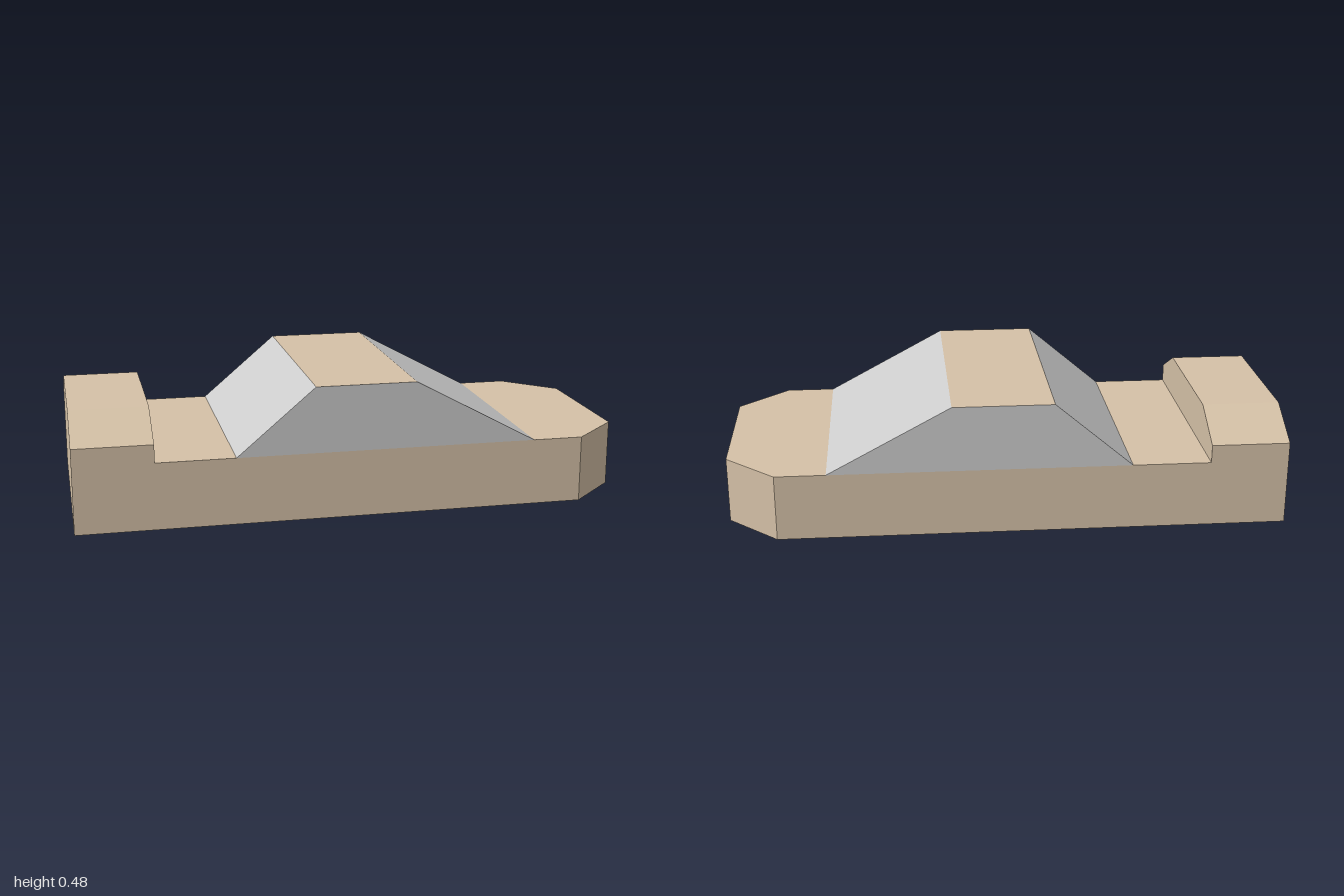
import * as THREE from 'three';

const HALF = 0.445;  // half width
const DECK = 0.24;   // body height
const ROOF = 0.477;  // cabin height

const paint = new THREE.MeshStandardMaterial({ color: 0xd5c1a7, flatShading: true });
const glass = new THREE.MeshStandardMaterial({ color: 0xcccccc, flatShading: true });

// Straight extrusion of a 2D outline
function prism(points, depth) {
  const shape = new THREE.Shape(points.map(([x, y]) => new THREE.Vector2(x, y)));
  return new THREE.ExtrudeGeometry(shape, { depth, bevelEnabled: false });
}

// Flat four-cornered panel, corners counter-clockwise from outside
function panel(corners) {
  const geo = new THREE.BufferGeometry();
  geo.setAttribute('position', new THREE.Float32BufferAttribute(corners.flat(), 3));
  geo.setIndex([0, 1, 2, 0, 2, 3]);
  geo.computeVertexNormals();
  return geo;
}

export function createModel() {
  const model = new THREE.Group();
  model.name = 'car';
  const add = (name, geometry, material, parent = model) => {
    const mesh = new THREE.Mesh(geometry, material);
    mesh.name = name;
    parent.add(mesh);
  };

  // Low body with chamfered nose corners at +x
  const plan = [[-1, -HALF], [0.82, -HALF], [1, -0.27], [1, 0.27], [0.82, HALF], [-1, HALF]];
  add('body', prism(plan, DECK).rotateX(-Math.PI / 2), paint);

  // Raised tail with sloped shoulders
  const tail = [[-HALF, DECK], [HALF, DECK], [HALF, 0.305], [0.27, 0.395], [-0.27, 0.395], [-HALF, 0.305]];
  add('tail', prism(tail, 0.28).rotateY(Math.PI / 2).translate(-1, 0, 0), paint);

  // Cabin: painted roof, glazed all round
  const cabin = new THREE.Group();
  cabin.name = 'cabin';
  model.add(cabin);
  const profile = [[-0.44, DECK], [-0.16, ROOF], [0.2, ROOF], [0.64, DECK]];
  ['rearWindow', 'roof', 'windscreen'].forEach((name, i) => {
    const p = profile[i], q = profile[i + 1];
    const corners = [[...p, -HALF], [...p, HALF], [...q, HALF], [...q, -HALF]];
    add(name, panel(corners), name === 'roof' ? paint : glass, cabin);
  });
  const side = (z) => profile.map((p) => [...p, z]);
  add('frontSideWindow', panel(side(HALF).reverse()), glass, cabin);
  add('backSideWindow', panel(side(-HALF)), glass, cabin);

  return model;
}
